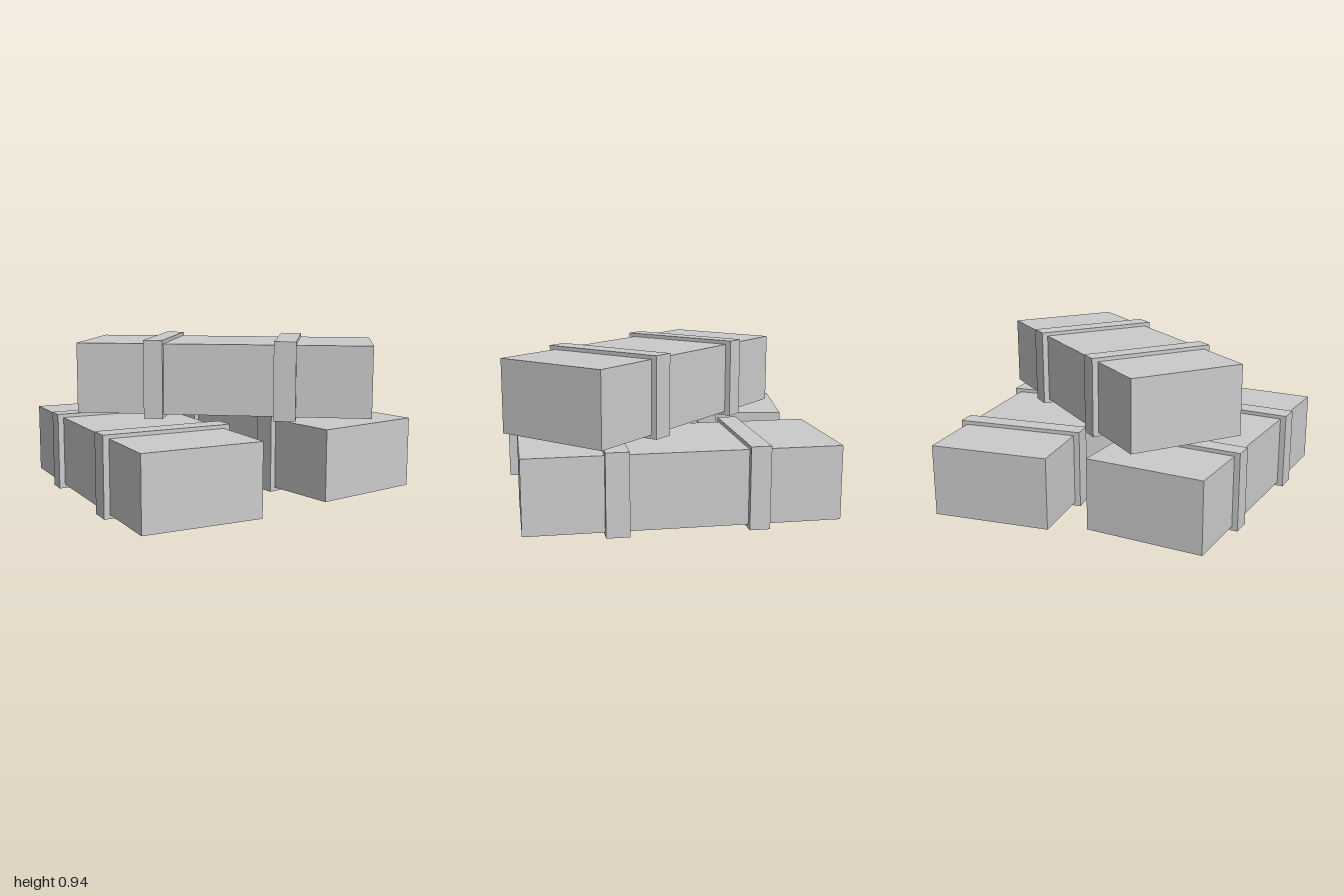
import * as THREE from 'three';

const material = new THREE.MeshStandardMaterial({ color: 0xcccccc, flatShading: true });

function box(name, width, height, depth, x, y) {
  const mesh = new THREE.Mesh(new THREE.BoxGeometry(width, height, depth), material);
  mesh.name = name;
  mesh.position.set(x, y, 0);
  return mesh;
}

// A long crate bound by two straps that stand slightly proud on all four sides
function createCrate(name, x, y, z, degrees) {
  const crate = new THREE.Group();
  crate.name = name;
  crate.add(
    box('crateBody', 1.767, 0.425, 0.707, 0, 0.235),
    box('leftEndStrap', 0.115, 0.47, 0.777, -0.408, 0.235),
    box('rightEndStrap', 0.131, 0.47, 0.777, 0.375, 0.235)
  );
  crate.position.set(x, y, z);
  crate.rotation.y = THREE.MathUtils.degToRad(degrees);
  return crate;
}

export function createModel() {
  const model = new THREE.Group();
  model.name = 'crateStack';
  // Two crates on the ground, the third lying diagonally across them
  model.add(
    createCrate('backCrate', -0.018, 0, -0.568, 0),
    createCrate('frontCrate', -0.019, 0, 0.498, -10),
    createCrate('topCrate', 0.07, 0.47, -0.125, 45)
  );
  return model;
}
